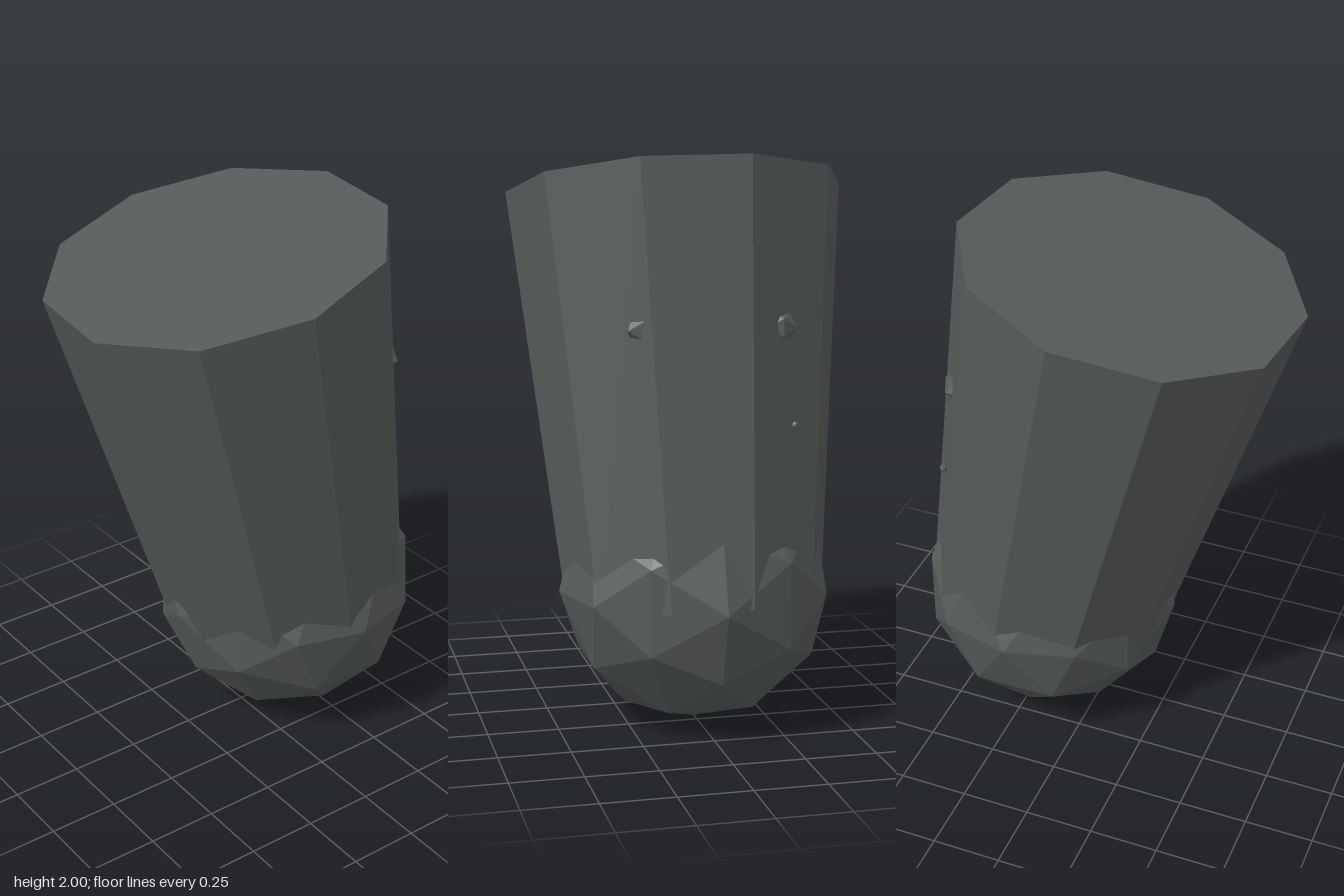
import * as THREE from 'three';

export function createModel() {
  const model = new THREE.Group();
  const material = new THREE.MeshStandardMaterial({ color: 0x555a59, flatShading: true });

  const add = (name, geometry, parent, x, y, z) => {
    const mesh = new THREE.Mesh(geometry, material);
    mesh.name = name;
    mesh.position.set(x, y, z);
    parent.add(mesh);
    return mesh;
  };

  // Ten-sided trunk, widening upwards and leaning towards the front
  const height = 1.507;
  const trunk = new THREE.Group();
  trunk.name = 'leaningTrunk';
  trunk.position.set(0, 1.872, 0.1025);
  trunk.rotation.x = 0.2175;
  model.add(trunk);
  const thetaStart = THREE.MathUtils.degToRad(12.5);
  add('trunk', new THREE.CylinderGeometry(0.605, 0.454, height, 10, 1, false, thetaStart),
    trunk, 0, -height / 2, 0);

  // Faceted ball the trunk is sunk into
  add('base', new THREE.IcosahedronGeometry(0.485, 1), model, 0, 0.485, -0.2);

  // Small, nearly buried bumps on the back
  for (const side of [-1, 1]) {
    add(side < 0 ? 'rightBump' : 'leftBump', new THREE.IcosahedronGeometry(0.06, 0),
      model, side * 0.24, 1.42, -0.44);
  }
  add('speck', new THREE.IcosahedronGeometry(0.015, 0), model, -0.28, 1.09, -0.5);

  return model;
}
